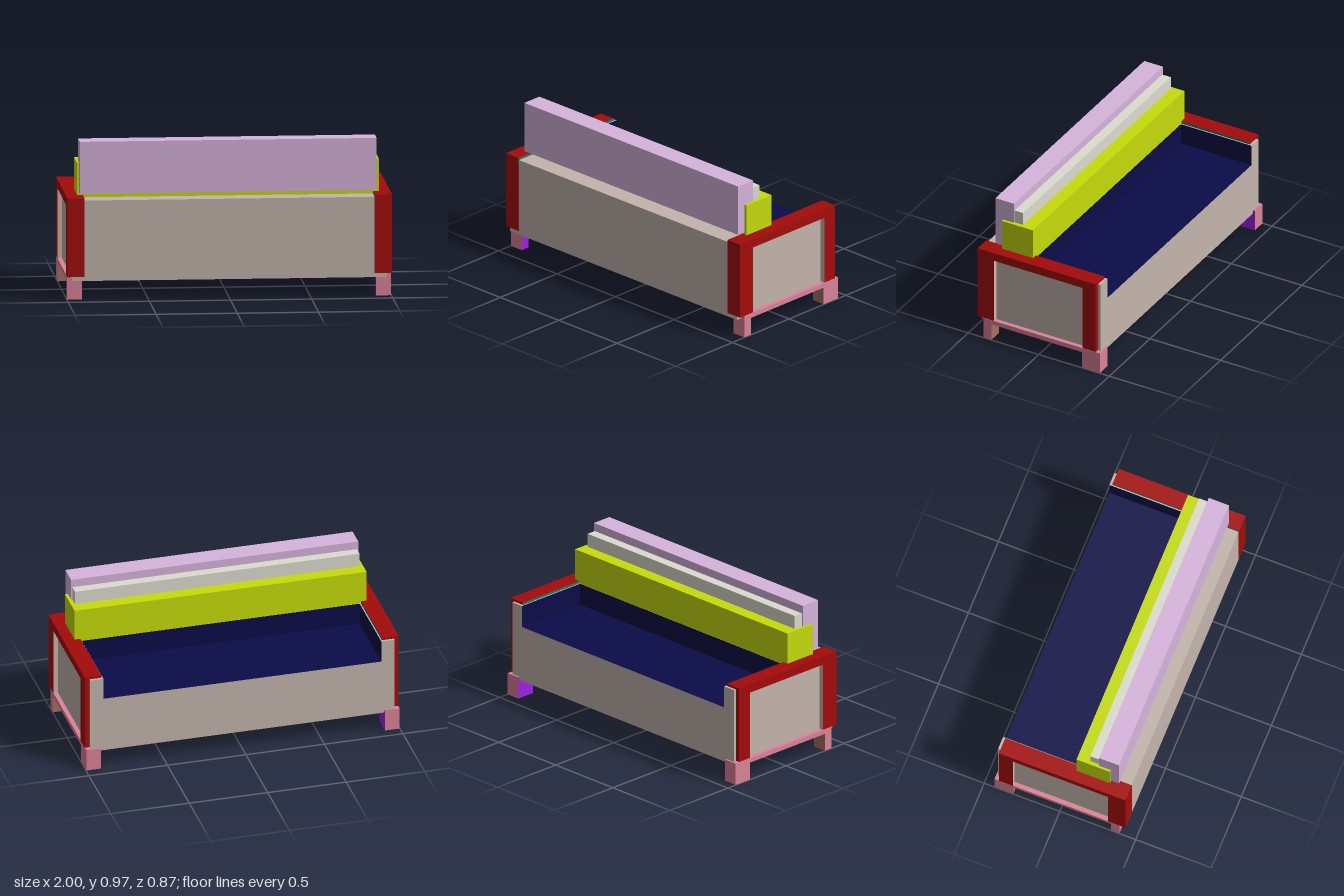
import * as THREE from 'three';

const C = {
  beige: 0xc4b5ad, red: 0xa50b0b, pink: 0xdc8499, lime: 0xc6dc0c, lilac: 0xd8b4dd,
  ivory: 0xdcdccf, navy: 0x0c0c48, purple: 0xa020e8, brown: 0xa87060, teal: 0x1f7a6a, blush: 0xd0b4aa,
};
const mats = {};
const mat = (name) => (mats[name] ??= new THREE.MeshStandardMaterial({ color: C[name] }));
const FACES = ['px', 'nx', 'py', 'ny', 'pz', 'nz'];

// Box from its limits; "accents" recolours single faces, e.g. { py: 'navy' }
function block(parent, name, [x0, x1], [y0, y1], [z0, z1], color, accents = {}) {
  const geo = new THREE.BoxGeometry(x1 - x0, y1 - y0, z1 - z0);
  const mesh = new THREE.Mesh(geo, FACES.map((f) => mat(accents[f] ?? color)));
  mesh.position.set((x0 + x1) / 2, (y0 + y1) / 2, (z0 + z1) / 2);
  mesh.name = name;
  parent.add(mesh);
}

export function createModel() {
  const sofa = new THREE.Group();
  sofa.name = 'sofa';

  // Body: slab with a recessed underside, and a back block behind the seat
  const body = new THREE.Group();
  body.name = 'body';
  sofa.add(body);
  const W = [-0.97, 0.97], low = [0.12, 0.19], high = [0.48, 0.62];
  block(body, 'seatSlab', W, [0.19, 0.48], [-0.42, 0.43], 'beige', { py: 'navy', ny: 'pink' });
  block(body, 'backBlock', W, high, [0.08, 0.43], 'beige', { nz: 'navy' });
  block(body, 'frontRim', W, low, [0.32, 0.43], 'beige', { nz: 'pink' });
  block(body, 'backRim', W, low, [-0.42, -0.3], 'beige', { pz: 'pink' });

  // Sides, mirrored: s = 1 is the left, s = -1 the right
  for (const s of [1, -1]) {
    const span = (a, b) => (s > 0 ? [a, b] : [-b, -a]);
    const inner = s > 0 ? 'nx' : 'px';

    block(body, 'sideRim', span(0.88, 0.97), low, [-0.3, 0.32], 'beige', { [inner]: 'pink' });
    block(body, 'seatSide', span(0.885, 0.97), high, [-0.42, 0.08], 'beige', { [inner]: 'navy' });

    // Arm frame: two posts and a top bar around the recessed side panel
    const arm = new THREE.Group();
    arm.name = s > 0 ? 'leftArm' : 'rightArm';
    sofa.add(arm);
    const ax = span(0.893, 1);
    block(arm, 'armTop', ax, [0.58, 0.635], [-0.403, 0.433], 'red', { [inner]: 'teal', ny: 'blush' });
    block(arm, 'frontPost', ax, [0.145, 0.58], [0.317, 0.433], 'red', { nz: 'blush' });
    block(arm, 'backPost', ax, [0.145, 0.58], [-0.403, -0.31], 'red', { pz: 'blush' });

    // Leg frame: a rail joining a slim front leg and a deep back leg
    const legs = new THREE.Group();
    legs.name = s > 0 ? 'leftLegs' : 'rightLegs';
    sofa.add(legs);
    const lx = span(0.905, 0.998);
    block(legs, 'legRail', lx, [0.112, 0.142], [-0.432, 0.393], 'pink', { [inner]: 'purple', ny: 'brown' });
    block(legs, 'frontLeg', lx, [0, 0.112], [0.336, 0.393], 'pink', { [inner]: 'purple', nz: 'brown' });
    block(legs, 'backLeg', lx, [0, 0.112], [-0.432, -0.307], 'pink', { [inner]: 'purple', pz: 'brown' });
  }

  // Stepped backrest
  block(sofa, 'lowerBackrest', [-0.93, 0.93], [0.62, 0.836], [0.082, 0.302], 'lime');
  block(sofa, 'middleBackrest', [-0.908, 0.905], [0.83, 0.922], [0.165, 0.23], 'ivory');
  block(sofa, 'upperBackrest', [-0.917, 0.912], [0.65, 0.974], [0.226, 0.358], 'lilac');

  return sofa;
}
